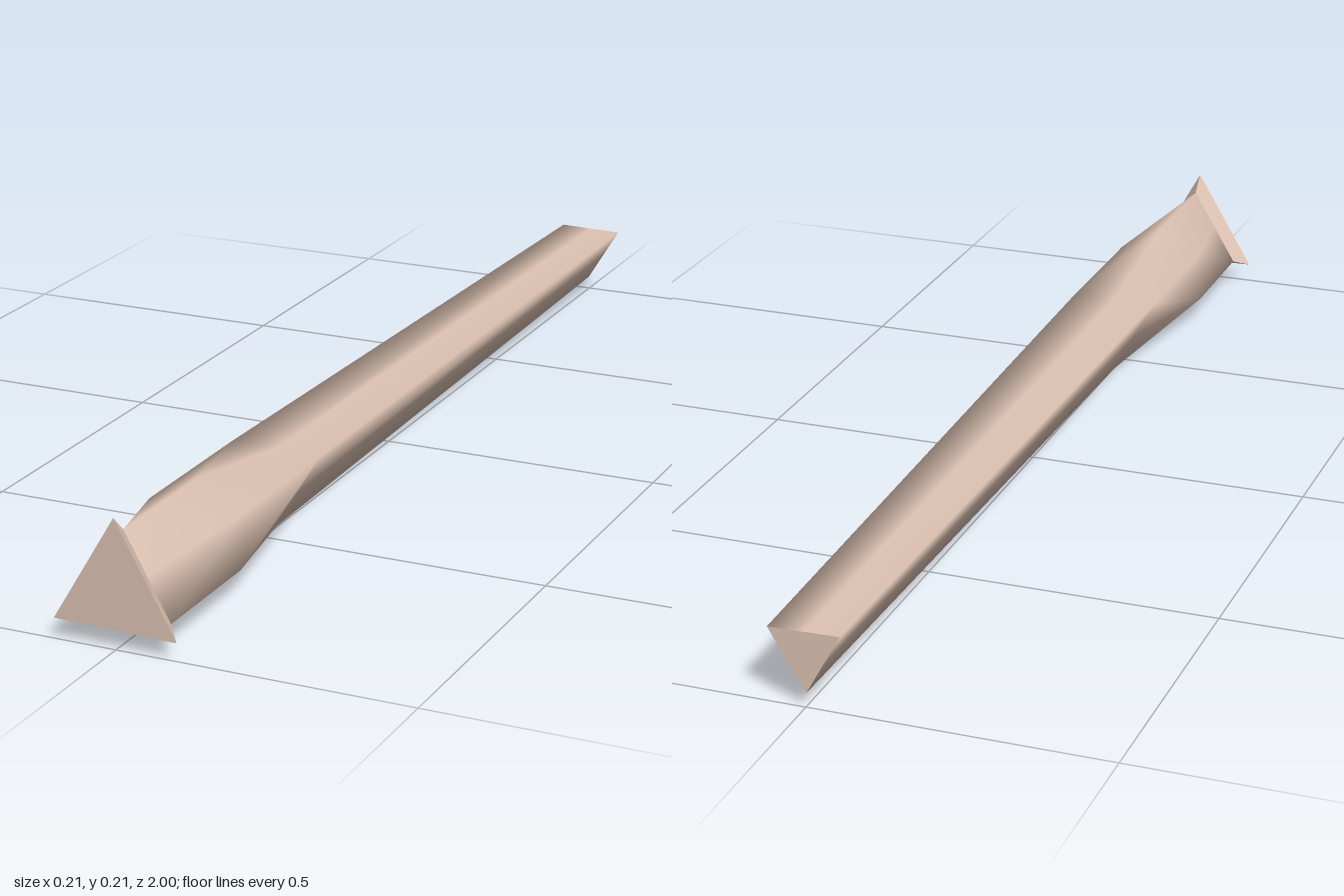
import * as THREE from 'three';

const COLOR = 0xdec3b3;

// Lofts six-point rings [z, upRadius, downRadius], ordered front to back.
// Even points form the upward triangle, odd points the downward one.
function loft(sections) {
  const positions = [];
  const index = [];
  for (const [z, up, down] of sections) {
    for (let k = 0; k < 6; k++) {
      const r = k % 2 ? down : up;
      const a = Math.PI / 2 + k * Math.PI / 3;
      positions.push(r * Math.cos(a), r * Math.sin(a), z);
    }
  }
  for (let i = 0; i < sections.length - 1; i++) {
    for (let k = 0; k < 6; k++) {
      const a = i * 6 + k, b = i * 6 + (k + 1) % 6;
      const c = a + 6, d = b + 6;
      // the diagonal always runs from a front up-point to a rear down-point
      if (k % 2 === 0) index.push(a, c, d, a, d, b);
      else index.push(a, c, b, b, c, d);
    }
  }
  const geometry = new THREE.BufferGeometry();
  geometry.setAttribute('position', new THREE.Float32BufferAttribute(positions, 3));
  geometry.setIndex(index);
  geometry.computeVertexNormals();
  return geometry;
}

export function createModel() {
  const group = new THREE.Group();
  group.name = 'triangularPeg';
  const smooth = new THREE.MeshStandardMaterial({ color: COLOR });
  const flat = new THREE.MeshStandardMaterial({ color: COLOR, flatShading: true });

  const add = (name, geometry, material) => {
    const mesh = new THREE.Mesh(geometry, material);
    mesh.name = name;
    group.add(mesh);
    return mesh;
  };

  // Shaft: upward triangle at the neck, hexagon, then a tapering downward triangle
  add('shaft', loft([
    [0.97, 0.093, 0.0465],
    [0.74, 0.093, 0.093],
    [0.45, 0.0465, 0.093],
    [-1, 0.0345, 0.069],
  ]), smooth);

  // Flared rim behind the front plate
  add('flange', loft([
    [1, 0.122, 0.061],
    [0.97, 0.093, 0.0465],
  ]), flat);

  // Triangular end faces
  add('frontPlate', new THREE.CircleGeometry(0.122, 3, Math.PI / 2), flat).position.z = 1;
  const back = add('backCap', new THREE.CircleGeometry(0.069, 3, -Math.PI / 2), flat);
  back.rotation.y = Math.PI;
  back.position.z = -1;

  // Axis height and slight roll
  group.position.y = 0.094;
  group.rotation.z = -0.019;
  return group;
}
